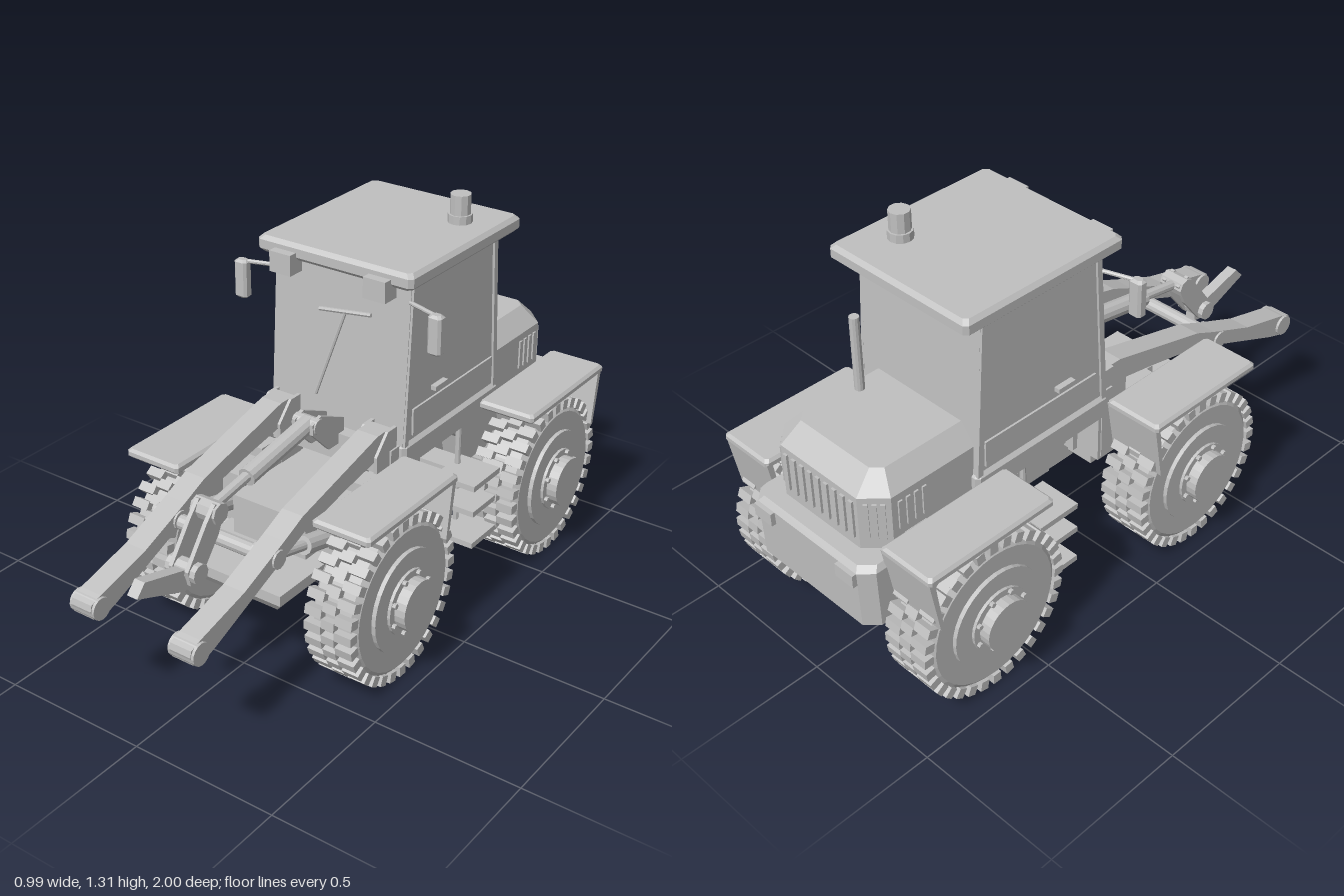
import * as THREE from 'three';
import { ConvexGeometry } from 'three/addons/geometries/ConvexGeometry.js';

export function createModel() {
  const model = new THREE.Group();
  model.name = 'tractor';
  const grey = new THREE.MeshStandardMaterial({ color: 0xc0c0c0, flatShading: true });
  grey.name = 'plain grey';
  const V = (x, y, z) => new THREE.Vector3(x, y, z);

  function add(name, geometry, x = 0, y = 0, z = 0, parent = model) {
    const mesh = new THREE.Mesh(geometry, grey);
    mesh.name = name;
    mesh.position.set(x, y, z);
    parent.add(mesh);
    return mesh;
  }
  // Box from its ranges
  const box = (name, x0, x1, y0, y1, z0, z1) =>
    add(name, new THREE.BoxGeometry(Math.abs(x1 - x0), y1 - y0, Math.abs(z1 - z0)),
      (x0 + x1) / 2, (y0 + y1) / 2, (z0 + z1) / 2);
  // Round bar between two points
  function rod(name, a, b, r, sides = 12, parent = model) {
    const mesh = add(name, new THREE.CylinderGeometry(r, r, a.distanceTo(b), sides), 0, 0, 0, parent);
    mesh.position.copy(a).add(b).multiplyScalar(0.5);
    mesh.quaternion.setFromUnitVectors(V(0, 1, 0), b.clone().sub(a).normalize());
    return mesh;
  }
  // Side profile of [z, y] points, given a width along x
  function profile(name, points, width, x = 0) {
    const shape = new THREE.Shape(points.map(p => new THREE.Vector2(p[0], p[1])));
    const geo = new THREE.ExtrudeGeometry(shape, { depth: width, bevelEnabled: false });
    geo.translate(0, 0, -width / 2).rotateY(-Math.PI / 2);
    return add(name, geo, x);
  }
  // Flat slab with chamfered edges and corners
  function slab(name, x0, x1, y0, y1, z0, z1, b) {
    const pts = [];
    for (const [y, i] of [[y0, b], [y0 + b, 0], [y1 - b, 0], [y1, b]])
      for (const [xa, xs] of [[x0, 1], [x1, -1]])
        for (const [za, zs] of [[z0, 1], [z1, -1]])
          pts.push(V(xa + xs * (i + b), y, za + zs * i), V(xa + xs * i, y, za + zs * (i + b)));
    return add(name, new ConvexGeometry(pts));
  }
  const mirror = fn => [1, -1].forEach(fn);

  // Wheels with staggered tread blocks
  const axleY = 0.282, frontZ = 0.26, rearZ = -0.655;
  function wheel(s, z) {
    const g = new THREE.Group();
    g.name = 'wheel';
    g.position.set(0, axleY, z);
    model.add(g);
    const disc = (name, r, x0, x1, sides) => rod(name, V(s * x0, 0, 0), V(s * x1, 0, 0), r, sides, g);
    const tyre = new THREE.LatheGeometry([[0, -0.082], [0.235, -0.082], [0.257, -0.065], [0.257, 0.065],
      [0.235, 0.082], [0, 0.082]].map(p => new THREE.Vector2(p[0], p[1])), 32);
    add('tyre', tyre.rotateZ(Math.PI / 2), s * 0.352, 0, 0, g);
    disc('rim', 0.17, 0.43, 0.448, 32);
    disc('hubFlange', 0.108, 0.44, 0.458, 24);
    disc('hub', 0.085, 0.45, 0.495, 24);
    for (let i = 0; i < 8; i++) {
      const a = (i + 0.5) * Math.PI / 4, y = 0.097 * Math.sin(a), bz = 0.097 * Math.cos(a);
      rod('wheelBolt', V(s * 0.455, y, bz), V(s * 0.47, y, bz), 0.009, 6, g);
    }
    const n = 32;
    for (let i = 0; i < n; i++) {
      for (const [x, w, shift] of [[0.407, 0.06, 0], [0.352, 0.046, 0.5], [0.297, 0.06, 0]]) {
        const a = (i + shift) * 2 * Math.PI / n;
        const lug = add('treadBlock', new THREE.BoxGeometry(w, 0.034, 0.03),
          s * x, 0.263 * Math.cos(a), 0.263 * Math.sin(a), g);
        lug.rotation.x = a;
      }
    }
  }
  for (const z of [frontZ, rearZ]) {
    mirror(s => wheel(s, z));
    rod('axle', V(-0.3, axleY, z), V(0.3, axleY, z), 0.042, 16);
    box('differential', -0.09, 0.09, 0.22, 0.36, z - 0.08, z + 0.08);
  }

  // Fenders with a slanted rear flap
  for (const [z0, z1] of [[0.02, 0.485], [-0.91, -0.435]]) {
    mirror(s => {
      slab('fender', s > 0 ? 0.255 : -0.462, s > 0 ? 0.462 : -0.255, 0.583, 0.615, z0 - 0.01, z1, 0.009);
      profile('fenderFlap', [[z0 - 0.008, 0.6], [z0 + 0.012, 0.6], [z0 + 0.04, 0.4], [z0 + 0.027, 0.4]],
        0.2, s * 0.355);
      box('fenderBracket', s * 0.15, s * 0.27, 0.55, 0.585, z0 + 0.1, z0 + 0.18);
    });
  }

  // Chassis, centre joint and steps
  const frontFrame = [];
  for (const [y, w, z0, z1] of [[0.295, 0.17, 0.03, 0.54], [0.33, 0.2, 0, 0.565], [0.365, 0.2, 0, 0.565]])
    for (const x of [-w, w]) frontFrame.push(V(x, y, z0), V(x, y, z1));
  add('frontFrame', new ConvexGeometry(frontFrame));
  box('frontBody', -0.14, 0.14, 0.36, 0.5, -0.02, 0.36);
  mirror(s => box('frontFrameRail', s * 0.14, s * 0.23, 0.36, 0.53, 0.0, 0.3));
  box('rearFrame', -0.18, 0.18, 0.33, 0.56, -0.9, -0.47);
  profile('rearFrameNose', [[-0.47, 0.34], [-0.47, 0.56], [-0.4, 0.56], [-0.4, 0.49], [-0.44, 0.45]], 0.36);
  box('centreBeam', -0.11, 0.11, 0.305, 0.42, -0.48, -0.1);
  box('frontLink', -0.1, 0.1, 0.3, 0.42, -0.1, 0.02);
  rod('articulationPin', V(0, 0.245, -0.15), V(0, 0.455, -0.15), 0.06, 16);
  box('jointPlate', -0.14, 0.14, 0.412, 0.44, -0.27, -0.055);
  box('cabSupport', -0.13, 0.13, 0.44, 0.56, -0.24, -0.1);
  mirror(s => {
    for (const y of [0.19, 0.31, 0.405]) box('step', s * 0.22, s * 0.37, y - 0.01, y + 0.01, -0.4, -0.24);
    rod('stepPost', V(s * 0.24, 0.185, -0.345), V(s * 0.24, 0.56, -0.345), 0.01, 8);
    box('stepBracket', s * 0.1, s * 0.23, 0.305, 0.415, -0.39, -0.3);
  });

  // Cab
  slab('cabBase', -0.262, 0.262, 0.55, 0.64, -0.55, 0.008, 0.012);
  profile('cabBody', [[0.005, 0.6], [-0.03, 1.18], [-0.51, 1.18], [-0.545, 0.6]], 0.5);
  slab('roof', -0.288, 0.288, 1.167, 1.222, -0.6, 0.03, 0.013);
  mirror(s => {
    const pillar = (a, b) => profile('cabPillar', [[a, 0.63], [a - 0.02, 0.63],
      [b - 0.02, 1.17], [b, 1.17]], 0.012, s * 0.252);
    pillar(0.002, -0.032);
    pillar(-0.524, -0.49);
    box('doorPanel', s * 0.248, s * 0.257, 0.655, 0.745, -0.51, -0.045);
    box('doorHandle', s * 0.248, s * 0.27, 0.77, 0.785, -0.22, -0.15);
    box('roofLamp', s * 0.135, s * 0.215, 1.127, 1.195, 0.0, 0.06);
    // Mirrors on their brackets
    rod('mirrorBracket', V(s * 0.245, 1.108, -0.03), V(s * 0.365, 1.108, 0.008), 0.007, 8);
    slab('mirror', s > 0 ? 0.34 : -0.387, s > 0 ? 0.387 : -0.34, 0.985, 1.115, -0.01, 0.027, 0.008);
  });
  // Wiper follows the slope of the windscreen
  const glass = (x, y) => V(x, y, 0.009 - 0.0603 * (y - 0.6));
  rod('wiperArm', glass(-0.085, 0.72), glass(0.015, 1.018), 0.006, 6);
  rod('wiperBlade', glass(-0.08, 1.01), glass(0.113, 1.036), 0.007, 6);

  // Roof beacon and exhaust
  rod('beaconBase', V(0.163, 1.215, -0.43), V(0.163, 1.25, -0.43), 0.04, 12);
  rod('beacon', V(0.163, 1.25, -0.43), V(0.163, 1.315, -0.43), 0.034, 10);
  rod('exhaust', V(0.145, 0.78, -0.636), V(0.145, 1.055, -0.636), 0.016, 12);

  // Engine hood with chamfered corners and grille ribs
  const hood = [];
  for (const [y, w, z, c] of [[0.55, 0.235, -0.92, 0.068], [0.735, 0.235, -0.92, 0.068], [0.797, 0.18, -0.853, 0.03]])
    for (const s of [1, -1]) hood.push(V(s * w, y, -0.52), V(s * w, y, z + c), V(s * (w - c), y, z));
  add('hood', new ConvexGeometry(hood));
  for (let i = -4; i <= 4; i++) box('grilleRib', i * 0.036 - 0.008, i * 0.036 + 0.008, 0.585, 0.715, -0.928, -0.915);
  mirror(s => {
    for (const t of [0.25, 0.5, 0.75]) {
      const rib = add('cornerGrilleRib', new THREE.BoxGeometry(0.014, 0.13, 0.014),
        s * (0.167 + 0.068 * t), 0.65, -0.92 + 0.068 * t);
      rib.rotation.y = Math.PI / 4;
    }
    for (let i = 0; i < 4; i++)
      box('sideVent', s * 0.23, s * 0.241, 0.61, 0.71, -0.83 + i * 0.03, -0.815 + i * 0.03);
  });

  // Rear counterweight and lamps
  const weight = [];
  for (const [y, w, z, c] of [[0.3, 0.235, -0.945, 0.03], [0.325, 0.262, -0.978, 0.04], [0.53, 0.262, -0.985, 0.04],
    [0.548, 0.25, -0.97, 0.04]])
    for (const s of [1, -1]) weight.push(V(s * w, y, -0.87), V(s * w, y, z + c), V(s * (w - c), y, z));
  add('counterweight', new ConvexGeometry(weight));
  mirror(s => box('rearLamp', s * 0.145, s * 0.222, 0.485, 0.53, -1.0, -0.97));

  // Front lift arms, their posts and lift cylinders
  const armSide = [[0.995, 0.41], [0.99, 0.43], [0.95, 0.445], [0.755, 0.495], [0.57, 0.57], [0.48, 0.61], [0.1, 0.705],
    [0.03, 0.705], [0.02, 0.64], [0.25, 0.6], [0.47, 0.555], [0.67, 0.475], [0.89, 0.385], [0.95, 0.365], [0.985, 0.38]];
  mirror(s => {
    const x = s * 0.186;
    profile('liftArm', armSide, 0.076, x);
    rod('armTipBoss', V(x - 0.047, 0.405, 0.957), V(x + 0.047, 0.405, 0.957), 0.036, 16);
    rod('armCollar', V(x - 0.045, 0.525, 0.6), V(x + 0.045, 0.525, 0.6), 0.03, 12);
    for (const d of [-0.042, 0.042])
      profile('armPost', [[0.012, 0.37], [0.012, 0.705], [0.06, 0.705], [0.12, 0.64], [0.11, 0.37]], 0.012, x + d);
    rod('liftCylinder', V(x, 0.4, 0.16), V(x, 0.47, 0.43), 0.03);
    rod('liftPiston', V(x, 0.47, 0.43), V(x, 0.515, 0.6), 0.016);
  });
  box('postCrossBeam', -0.24, 0.24, 0.54, 0.635, 0.005, 0.05);
  rod('armCrossTube', V(-0.16, 0.52, 0.6), V(0.16, 0.52, 0.6), 0.024, 12);

  // Central tilt cylinder and bell crank
  mirror(s => profile('tiltBracket', [[0.02, 0.6], [0.02, 0.68], [0.14, 0.735], [0.185, 0.72], [0.185, 0.685],
    [0.1, 0.6]], 0.012, s * 0.034));
  rod('tiltPin', V(-0.045, 0.705, 0.155), V(0.045, 0.705, 0.155), 0.026, 12);
  rod('tiltCylinder', V(0, 0.705, 0.155), V(0, 0.655, 0.46), 0.03, 12);
  rod('tiltPiston', V(0, 0.66, 0.45), V(0, 0.63, 0.635), 0.017, 10);
  rod('crankPin', V(-0.046, 0.63, 0.635), V(0.046, 0.63, 0.635), 0.034, 8);
  mirror(s => profile('bellCrank', [[0.60, 0.645], [0.65, 0.665], [0.69, 0.62], [0.78, 0.5], [0.77, 0.45],
    [0.72, 0.46], [0.64, 0.56]], 0.014, s * 0.03));
  rod('linkPin', V(-0.056, 0.485, 0.745), V(0.056, 0.485, 0.745), 0.032, 10);
  profile('tiltLink', [[0.975, 0.51], [0.94, 0.548], [0.72, 0.485], [0.72, 0.44], [0.78, 0.43]], 0.038);
  return model;
}
